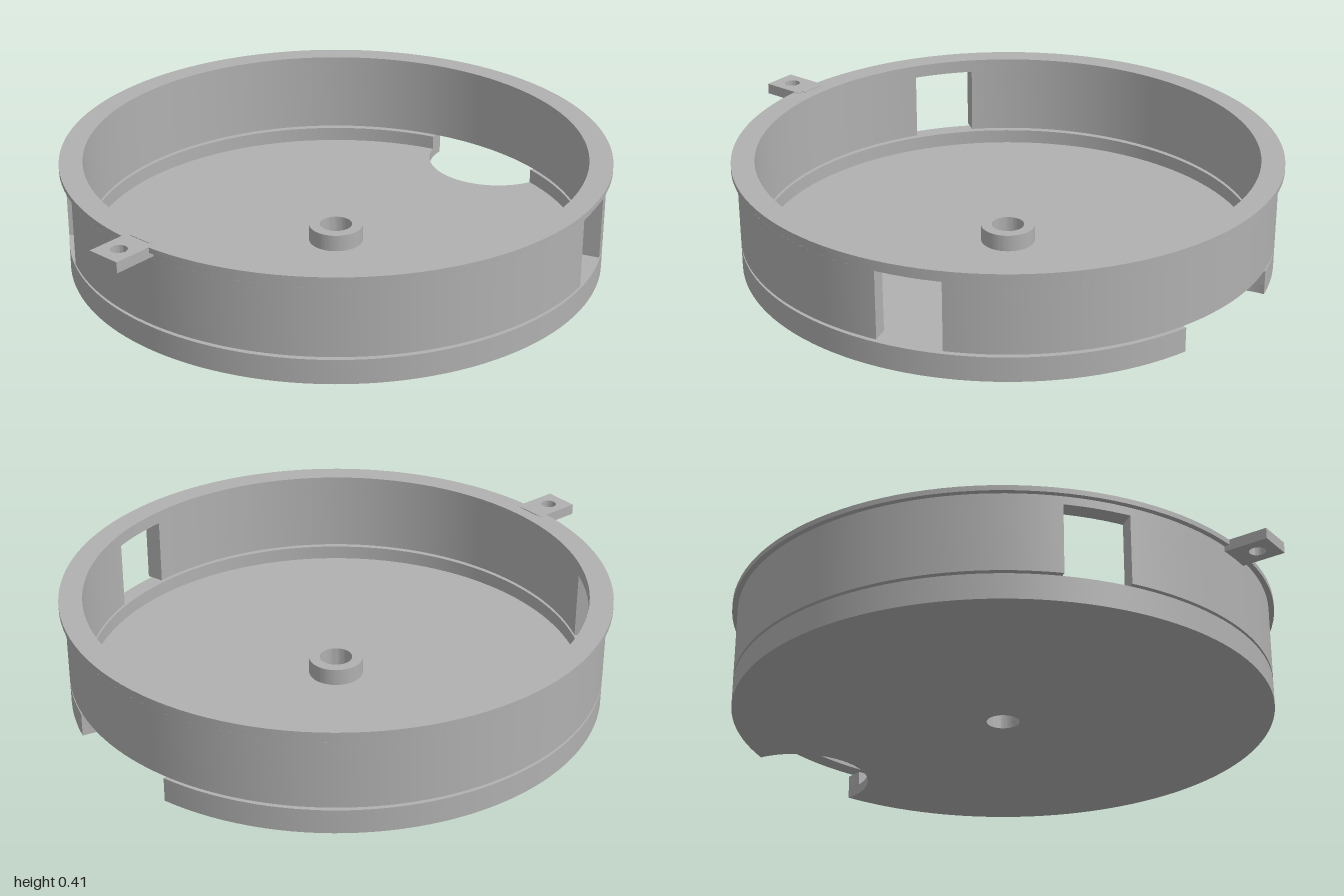
import * as THREE from 'three';
import { toCreasedNormals } from 'three/addons/utils/BufferGeometryUtils.js';

const OUTER = 0.98, INNER = 0.915, TAU = Math.PI * 2;
const STEP = Math.PI / 5; // features sit on multiples of 36 degrees

export function createModel() {
  const model = new THREE.Group();
  model.name = 'roundHousing';
  const grey = new THREE.MeshStandardMaterial({ color: 0xb0b0b0 });
  grey.name = 'plainGrey';

  // Extrude a plan outline (x, -z) upwards from y0 to y1
  function slab(name, shape, y0, y1, parent = model) {
    const geo = new THREE.ExtrudeGeometry(shape, { depth: y1 - y0, bevelEnabled: false, curveSegments: 60 });
    geo.rotateX(-Math.PI / 2);
    geo.translate(0, y0, 0);
    const mesh = new THREE.Mesh(toCreasedNormals(geo, 0.5), grey);
    mesh.name = name;
    parent.add(mesh);
    return mesh;
  }
  const addHole = (shape, x, y, r) => shape.holes.push(new THREE.Path().absarc(x, y, r, 0, TAU, true));
  function annulus(outer, inner) {
    const shape = new THREE.Shape().absarc(0, 0, outer, 0, TAU, false);
    addHole(shape, 0, 0, inner);
    return shape;
  }
  // Part of a ring; the end angles may differ on the outer and inner edge
  function sector(o0, o1, i0, i1) {
    const shape = new THREE.Shape().absarc(0, 0, OUTER, o0, o1, false);
    shape.absarc(0, 0, INNER, i1, i0, true);
    shape.closePath();
    return shape;
  }

  // Base floor with a round bite out of its edge
  const biteDist = 0.97, biteR = 0.26;
  const halfAngle = R => Math.acos((R * R + biteDist ** 2 - biteR ** 2) / (2 * R * biteDist));
  const ho = halfAngle(OUTER), hi = halfAngle(INNER);
  const cx = biteDist * Math.cos(STEP), cy = biteDist * Math.sin(STEP);
  const biteAngle = a => Math.atan2(OUTER * Math.sin(a) - cy, OUTER * Math.cos(a) - cx);
  const floor = new THREE.Shape().absarc(0, 0, OUTER, STEP + ho, STEP - ho + TAU, false);
  floor.absarc(cx, cy, biteR, biteAngle(STEP - ho), biteAngle(STEP + ho), true);
  floor.closePath();
  addHole(floor, 0, 0, 0.06);
  slab('baseFloor', floor, 0, 0.037);

  // Base rim, open at the bite, and the central hub
  slab('baseRim', sector(STEP + ho, STEP - ho + TAU, STEP + hi, STEP - hi + TAU), 0.037, 0.091);
  slab('hub', annulus(0.1, 0.06), 0.037, 0.1);

  // Wall with two parallel-sided windows, at -36 and 180 degrees
  const wo = Math.asin(0.117 / OUTER), wi = Math.asin(0.117 / INNER);
  for (const [a, b] of [[-STEP, Math.PI], [Math.PI, TAU - STEP]]) {
    slab('windowedWall', sector(a + wo, b - wo, a + wi, b - wi), 0.102, 0.355);
  }
  slab('upperWall', annulus(OUTER, INNER), 0.355, 0.385);
  slab('topFlange', annulus(1, INNER), 0.385, 0.404);

  // Mounting tab with a screw hole and a thin rib where it meets the flange
  const tab = new THREE.Group();
  tab.name = 'mountingTab';
  tab.rotation.y = Math.PI + STEP;
  model.add(tab);
  const rect = (x0, x1, h) => new THREE.Shape([[x0, -h], [x1, -h], [x1, h], [x0, h]].map(p => new THREE.Vector2(...p)));
  const plate = rect(0.965, 1.14, 0.064);
  addHole(plate, 1.07, 0, 0.029);
  slab('tabPlate', plate, 0.365, 0.405, tab);
  slab('tabRib', rect(0.962, 0.978, 0.045), 0.4, 0.407, tab);

  return model;
}
